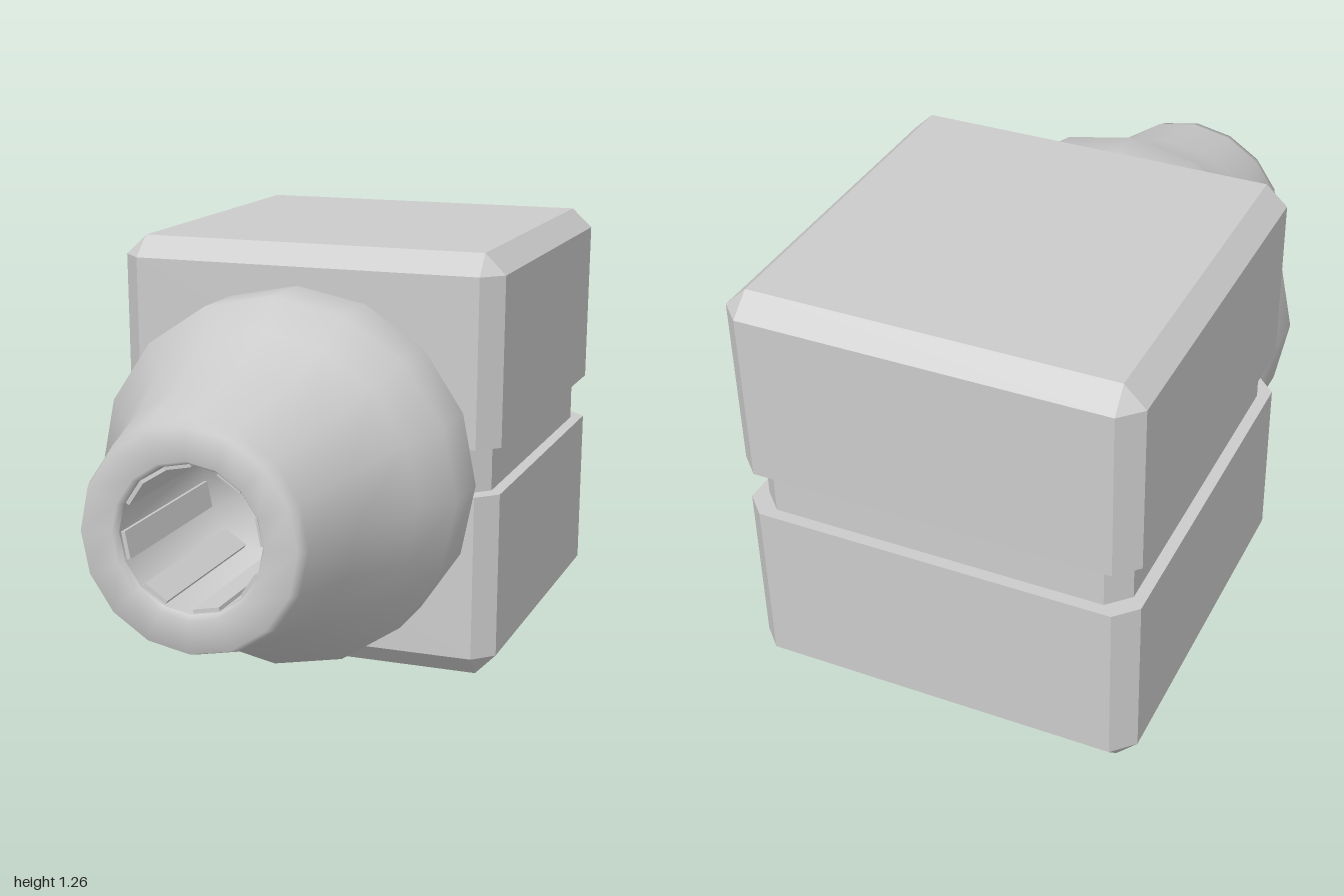
import * as THREE from 'three';

const SIDES = 16;
const AXIS_Y = 0.61;   // height of the nozzle axis
const BODY_Z = -0.415; // centre of the square body

// Square outline of half width h with corners cut by c, as eight points
function cutSquare(y, h, c) {
  const k = h - c;
  return [[h, k], [k, h], [-k, h], [-h, k], [-h, -k], [-k, -h], [k, -h], [h, -k]]
    .map(([x, z]) => new THREE.Vector3(x, y, z));
}

// Flat-faced skin through stacked eight-point loops, closed at both ends
function loft(loops) {
  const tris = [];
  const n = 8;
  const add = (a, b, c) => {
    const area = b.clone().sub(a).cross(c.clone().sub(a)).length();
    if (area > 1e-9) tris.push(a, b, c);
  };
  for (let j = 0; j < loops.length - 1; j++) {
    for (let i = 0; i < n; i++) {
      const k = (i + 1) % n;
      const a = loops[j][i], b = loops[j][k], c = loops[j + 1][k], d = loops[j + 1][i];
      add(a, d, c);
      add(a, c, b);
    }
  }
  const first = loops[0], last = loops[loops.length - 1];
  for (let i = 1; i < n - 1; i++) {
    add(first[0], first[i], first[i + 1]);
    add(last[0], last[i + 1], last[i]);
  }
  const geometry = new THREE.BufferGeometry().setFromPoints(tris);
  geometry.computeVertexNormals();
  return geometry;
}

// Turned surface along z from [radius, z] pairs
function turned(profile) {
  const points = profile.map(([r, z]) => new THREE.Vector2(r, z));
  return new THREE.LatheGeometry(points, SIDES).rotateX(Math.PI / 2);
}

export function createModel() {
  const model = new THREE.Group();
  model.name = 'nozzleBlock';
  const smooth = new THREE.MeshStandardMaterial({ color: 0xcccccc });
  const flat = new THREE.MeshStandardMaterial({ color: 0xcccccc, flatShading: true });

  function part(name, geometry, material, parent = model) {
    const mesh = new THREE.Mesh(geometry, material);
    mesh.name = name;
    parent.add(mesh);
    return mesh;
  }

  // Chamfered block with a groove around its middle
  const body = part('body', loft([
    cutSquare(0, 0.52, 0),
    cutSquare(0.065, 0.583, 0.06),
    cutSquare(0.56, 0.585, 0.06),
    cutSquare(0.56, 0.55, 0.06),
    cutSquare(0.7, 0.55, 0.06),
    cutSquare(0.7, 0.587, 0.06),
    cutSquare(1.2, 0.59, 0.06),
    cutSquare(1.26, 0.527, 0),
  ]), flat);
  body.position.z = BODY_Z;

  const nozzle = new THREE.Group();
  nozzle.name = 'nozzle';
  nozzle.position.y = AXIS_Y;
  model.add(nozzle);

  // Flared collar, tapering barrel and rounded lip
  part('nozzleShell', turned([
    [0.47, 0.12], [0.51, 0.17], [0.542, 0.215], [0.542, 0.405], [0.455, 0.48],
    [0.37, 0.73], [0.32, 0.96], [0.305, 1], [0.215, 1], [0.203, 0.98],
  ]), smooth, nozzle);

  // Closed bore
  part('bore', turned([[0.203, 0.98], [0.203, 0.44], [0, 0.44]]), smooth, nozzle);

  // Shallow ribs on every other side of the bore
  const ribs = new THREE.Group();
  ribs.name = 'boreRibs';
  nozzle.add(ribs);
  const step = (Math.PI * 2) / SIDES;
  for (let i = 0; i < SIDES / 2; i++) {
    const angle = (2 * i + 0.5) * step;
    const rib = part('boreRib', new THREE.BoxGeometry(0.076, 0.02, 0.53), flat, ribs);
    rib.position.set(0.198 * Math.sin(angle), -0.198 * Math.cos(angle), 0.705);
    rib.rotation.z = angle;
  }

  return model;
}
